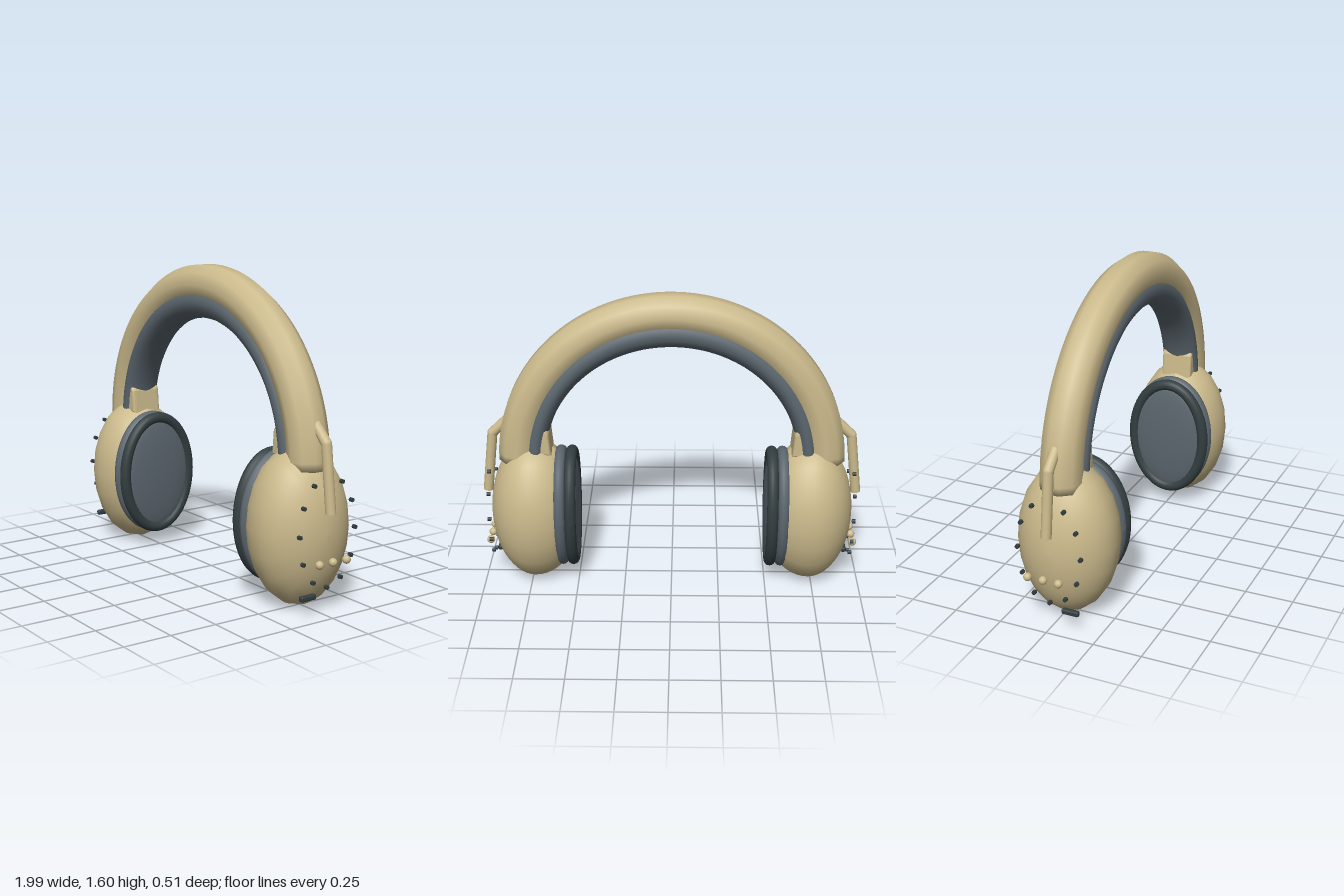
import * as THREE from 'three';
import { RoundedBoxGeometry } from 'three/addons/geometries/RoundedBoxGeometry.js';

const TAU = Math.PI * 2;
const flat = (name, color) => {
  const m = new THREE.MeshStandardMaterial({ color });
  m.name = name;
  return m;
};

// Torus topology whose vertices are placed by a rule of (u along, v around)
function sweep(sides, segments, rule) {
  const g = new THREE.TorusGeometry(1, 0.1, sides, segments);
  const p = g.attributes.position, uv = g.attributes.uv;
  for (let i = 0; i < p.count; i++) p.setXYZ(i, ...rule(uv.getX(i), uv.getY(i) * TAU));
  g.computeVertexNormals();
  return g;
}

// Arch in the xy plane, ends closed to a point
function arch(radius, sides, start, offset, rr, rz) {
  return sweep(sides, 72, (u, v) => {
    const a = -start + u * (Math.PI + 2 * start);
    const end = u < 0.001 || u > 0.999 ? 0 : 1;
    const R = radius + end * rr(a) * Math.cos(v + offset);
    return [R * Math.cos(a), 0.7 + R * Math.sin(a), end * rz * Math.sin(v + offset)];
  });
}

// Oval ring around the x axis
function ovalRing(ry, rz, tube) {
  return sweep(14, 56, (u, v) => {
    const a = u * TAU, d = tube * Math.cos(v);
    return [(rz + d) * Math.cos(a), (ry + d) * Math.sin(a), tube * Math.sin(v)];
  }).rotateY(Math.PI / 2);
}

// Round bar between two points
function bar(a, b, r) {
  const d = b.clone().sub(a);
  const g = new THREE.CylinderGeometry(r, r, d.length(), 14);
  g.applyQuaternion(new THREE.Quaternion().setFromUnitVectors(new THREE.Vector3(0, 1, 0), d.normalize()));
  const c = a.clone().add(b).multiplyScalar(0.5);
  return g.translate(c.x, c.y, c.z);
}

export function createModel() {
  const shell = flat('sand shell', 0xcbba8c);
  const pad = flat('slate padding', 0x5b666e);
  const dark = flat('dark rubber', 0x333e40);
  const model = new THREE.Group();
  model.name = 'headphones';

  const add = (parent, name, geometry, material, x = 0, y = 0, z = 0) => {
    const m = new THREE.Mesh(geometry, material);
    m.name = name;
    m.position.set(x, y, z);
    parent.add(m);
    return m;
  };

  // Headband with ten-sided section, and the cushion below it
  add(model, 'headband', arch(0.8, 10, 0.05, Math.PI * 1.1, () => 0.105, 0.105), shell);
  add(model, 'headbandCushion',
    arch(0.71, 20, 0.02, 0, (a) => 0.085 - 0.028 * Math.cos(a) ** 2, 0.1), pad);

  // Each side is built towards +x; the other one is turned half round, with z flipped
  for (const s of [1, -1]) {
    const side = new THREE.Group();
    side.name = s > 0 ? 'leftEarpiece' : 'rightEarpiece';
    side.rotation.y = s > 0 ? 0 : Math.PI;
    model.add(side);

    // Egg-shaped cup, cut flat on the inside
    const cup = new THREE.SphereGeometry(1, 20, 28).rotateZ(-Math.PI / 2);
    const p = cup.attributes.position;
    for (let i = 0; i < p.count; i++) {
      const x = p.getX(i);
      p.setXYZ(i, x > 0 ? x * 0.22 : Math.max(x * 0.26, -0.15), p.getY(i) * 0.395, p.getZ(i) * 0.255);
    }
    cup.computeVertexNormals();
    add(side, 'earCup', cup, shell, 0.735, 0.398, 0);

    // Ear cushion: two oval rings and a domed inner face
    add(side, 'cushionBase', ovalRing(0.31, 0.205, 0.03), pad, 0.583, 0.41, 0);
    add(side, 'cushionRing', ovalRing(0.31, 0.205, 0.03), dark, 0.526, 0.41, 0);
    add(side, 'speakerFace',
      new THREE.SphereGeometry(1, 40, 20).rotateZ(Math.PI / 2).scale(0.036, 0.305, 0.2),
      pad, 0.523, 0.41, 0);

    // Knuckle that joins the cup and the band
    const k = new THREE.Shape();
    k.moveTo(0.625, 0.74);
    k.lineTo(0.635, 0.86);
    k.quadraticCurveTo(0.65, 0.895, 0.675, 0.88);
    k.quadraticCurveTo(0.69, 0.83, 0.73, 0.82);
    k.lineTo(0.75, 0.74);
    const knuckle = new THREE.ExtrudeGeometry(k, {
      depth: 0.13, bevelEnabled: true, bevelSize: 0.012, bevelThickness: 0.02, bevelSegments: 3, bevelOffset: -0.01,
    });
    add(side, 'knuckle', knuckle, shell, 0, 0, -0.065);

    // Bent outer arm
    const top = new THREE.Vector3(0.8, 0.965, 0);
    const bend = new THREE.Vector3(0.933, 0.835, 0);
    const tip = new THREE.Vector3(0.972, 0.505, 0);
    add(side, 'armUpper', bar(top, bend, 0.026), shell);
    add(side, 'armLower', bar(bend, tip, 0.026), shell);
    add(side, 'armBend', new THREE.SphereGeometry(0.026, 14, 10), shell, bend.x, bend.y, 0);

    // Oval of small studs
    const stud = new THREE.CylinderGeometry(0.011, 0.011, 0.018, 8).rotateZ(Math.PI / 2);
    for (let i = 0; i < 12; i++) {
      const a = (i / 12) * TAU;
      add(side, 'stud', stud, dark, 0.951, 0.414 + 0.27 * Math.cos(a), 0.167 * Math.sin(a));
    }

    // Row of round buttons and the microphone
    const button = new THREE.SphereGeometry(0.021, 16, 12);
    for (const z of [0.05, -0.032, -0.115]) add(side, 'button', button, shell, 0.957, 0.262, s * z);
    add(side, 'microphone', new RoundedBoxGeometry(0.027, 0.028, 0.09, 3, 0.009), dark, 0.937, 0.107, s * 0.103);
  }
  return model;
}
